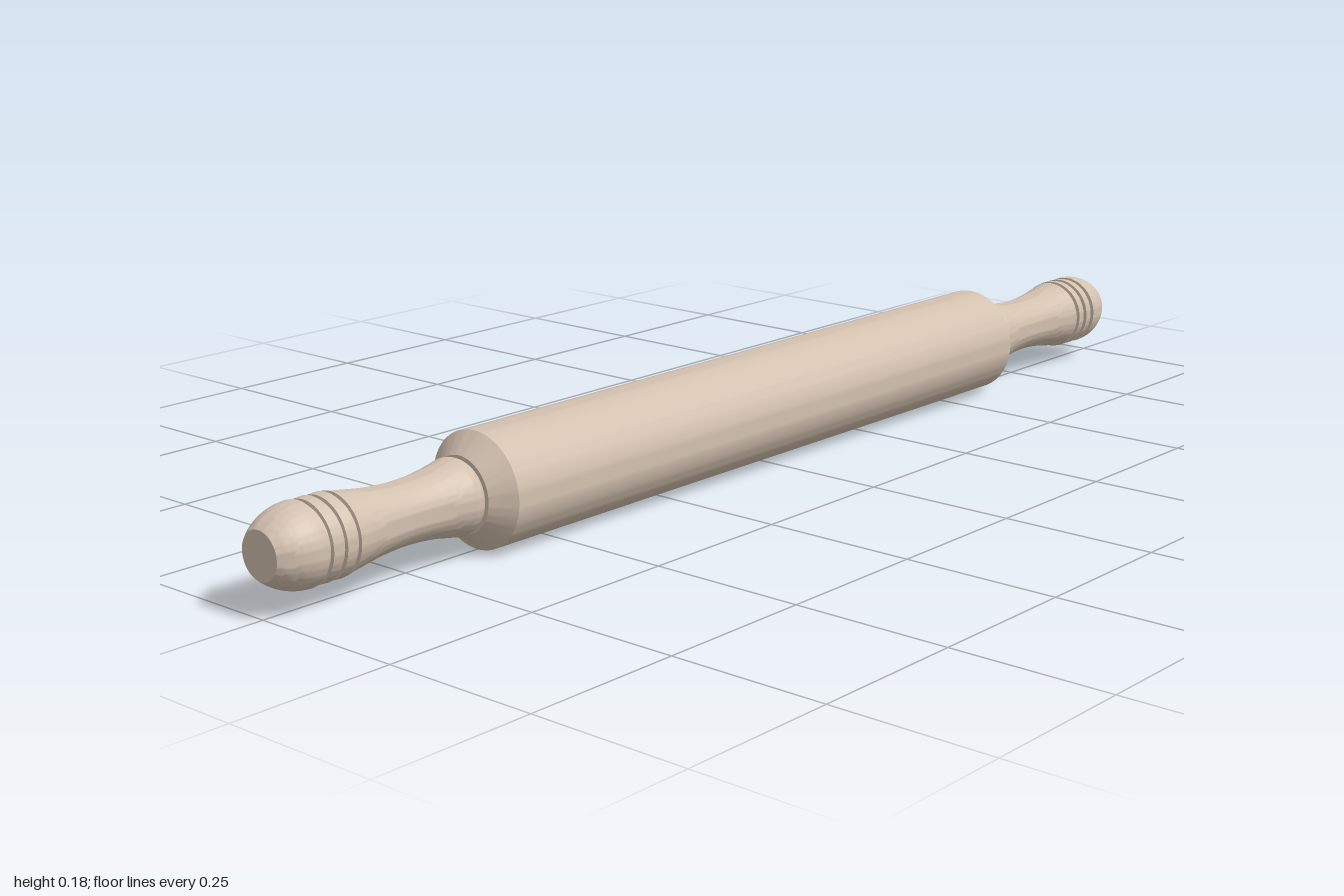
import * as THREE from 'three';
import { toCreasedNormals } from 'three/addons/utils/BufferGeometryUtils.js';

const R = 0.089; // barrel radius, also the axis height

// Turns a list of [position along x, radius] into a lathed solid on the x axis
function turned(name, profile, material) {
  const points = profile.map(([x, r]) => new THREE.Vector2(r, x));
  const geometry = toCreasedNormals(new THREE.LatheGeometry(points, 64), 0.5);
  geometry.rotateZ(-Math.PI / 2);
  const mesh = new THREE.Mesh(geometry, material);
  mesh.name = name;
  return mesh;
}

// Smooth run of profile points through a few control points
function smooth(controls, n) {
  const curve = new THREE.CatmullRomCurve3(controls.map(([x, r]) => new THREE.Vector3(x, r, 0)));
  return curve.getPoints(n).map((p) => [p.x, p.y]);
}

export function createModel() {
  const wood = new THREE.MeshStandardMaterial({ color: 0xd3c1af });
  wood.name = 'pale wood';

  const model = new THREE.Group();
  model.name = 'rollingPin';

  // Barrel with chamfered ends
  const barrel = turned('barrel', [
    [-0.642, 0], [-0.642, 0.058], [-0.612, R],
    [0.612, R], [0.642, 0.058], [0.642, 0],
  ], wood);
  barrel.position.y = R;
  model.add(barrel);

  // Handle: rounded collar, slim waist, three cut grooves, rounded knob with a flat end
  const grip = smooth([
    [0.638, 0.044], [0.644, 0.053], [0.656, 0.058], [0.675, 0.055],
    [0.71, 0.049], [0.76, 0.046], [0.81, 0.049], [0.85, 0.055], [0.876, 0.059],
  ], 36);
  const grooves = [];
  for (const x of [0.88, 0.904, 0.928]) {
    grooves.push([x - 0.004, 0.06], [x - 0.003, 0.055], [x + 0.003, 0.055], [x + 0.004, 0.061]);
  }
  const knob = smooth([
    [0.935, 0.0615], [0.952, 0.06], [0.972, 0.054], [0.99, 0.044], [1, 0.036],
  ], 16);
  const profile = [[0.638, 0], ...grip.slice(0, -1), ...grooves, ...knob, [1, 0]];

  for (const [name, turn] of [['leftHandle', 0], ['rightHandle', Math.PI]]) {
    const handle = turned(name, profile, wood);
    handle.position.y = R;
    handle.rotation.y = turn;
    model.add(handle);
  }
  return model;
}
